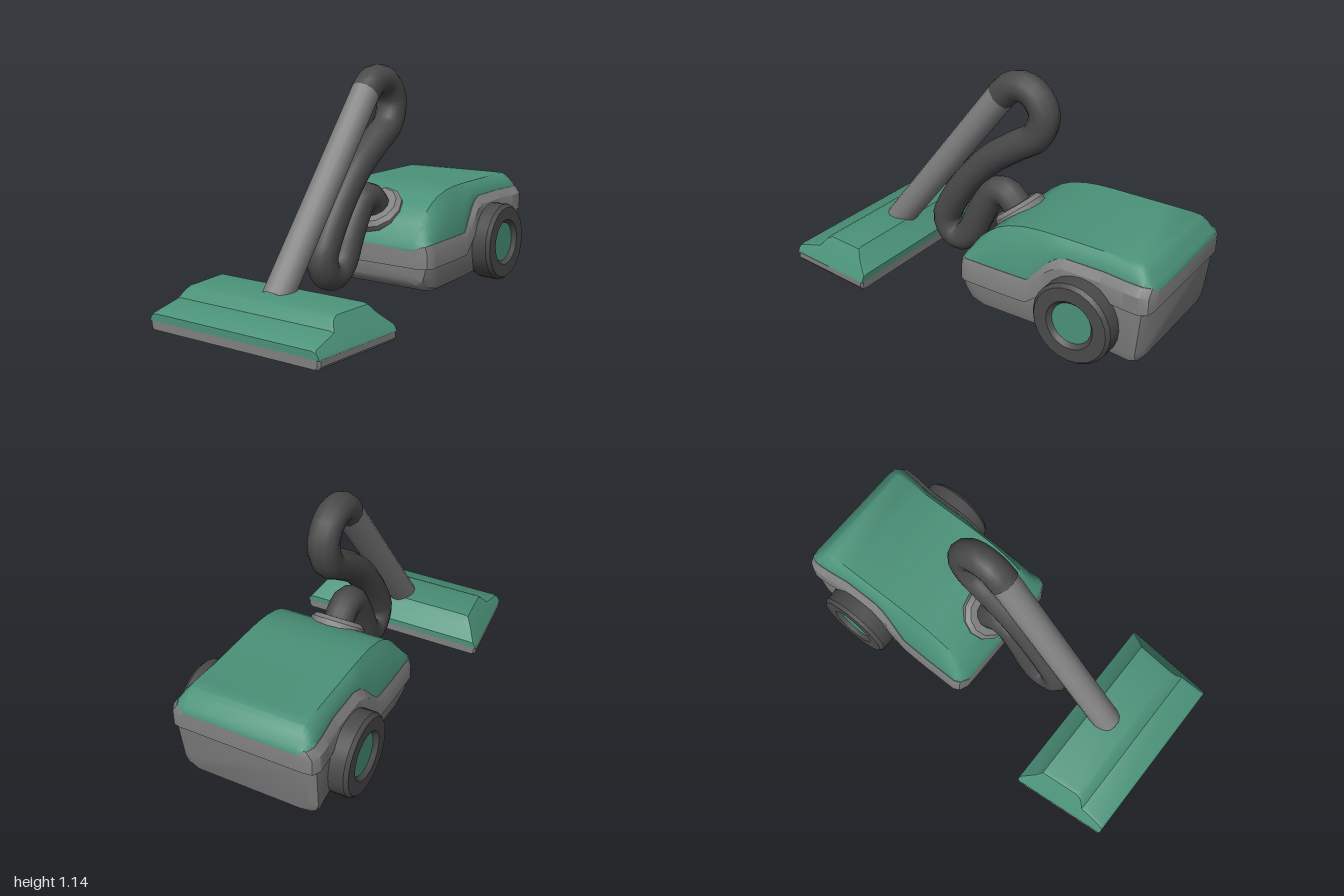
import * as THREE from 'three';
import { toCreasedNormals } from 'three/addons/utils/BufferGeometryUtils.js';

const flat = (name, color) => {
  const m = new THREE.MeshStandardMaterial({ color });
  m.name = name;
  return m;
};

// Mirrors a right-hand half section [x, y] at depth z into a full section.
const mirror = (half, z) => [
  ...half.map(([x, y]) => [x, y, z]),
  ...[...half].reverse().map(([x, y]) => [-x, y, z]),
];

// Skins sections that run from front to back and closes both ends.
function loft(sections, crease = 0.6) {
  const n = sections[0].length, last = (sections.length - 1) * n, index = [];
  for (let i = 0; i < sections.length - 1; i++) {
    for (let j = 0; j < n - 1; j++) {
      const a = i * n + j, d = a + n;
      index.push(a, d, a + 1, a + 1, d, d + 1);
    }
  }
  for (let j = 1; j < n - 1; j++) {
    index.push(0, j, j + 1, last, last + j + 1, last + j);
  }
  const g = new THREE.BufferGeometry();
  g.setAttribute('position', new THREE.Float32BufferAttribute(sections.flat(2), 3));
  g.setIndex(index);
  return toCreasedNormals(g, crease);
}

export function createModel() {
  const group = new THREE.Group();
  const green = flat('green plastic', 0x4b9279);
  const grey = flat('grey plastic', 0x808080);
  const dark = flat('dark rubber', 0x4a4a4a);
  const add = (name, geometry, material, parent = group) => {
    const mesh = new THREE.Mesh(geometry, material);
    mesh.name = name;
    parent.add(mesh);
    return mesh;
  };
  const at = (z, y) => new THREE.Vector3(0, y, z);

  // Body stations: z, half width, seam height, colour line height, top height
  const body = [
    [0.02, 0.31, 0.18, 0.275, 0.277],
    [0.0, 0.355, 0.18, 0.29, 0.31],
    [-0.03, 0.37, 0.18, 0.295, 0.35],
    [-0.06, 0.37, 0.18, 0.295, 0.39],
    [-0.11, 0.37, 0.18, 0.295, 0.435],
    [-0.16, 0.37, 0.18, 0.295, 0.47],
    [-0.22, 0.37, 0.18, 0.295, 0.497],
    [-0.30, 0.368, 0.18, 0.295, 0.517],
    [-0.37, 0.365, 0.18, 0.295, 0.525],
    [-0.42, 0.362, 0.22, 0.35, 0.527],
    [-0.47, 0.36, 0.27, 0.41, 0.528],
    [-0.51, 0.357, 0.30, 0.44, 0.528],
    [-0.56, 0.353, 0.33, 0.455, 0.528],
    [-0.75, 0.353, 0.33, 0.455, 0.528],
    [-0.87, 0.367, 0.33, 0.455, 0.528],
    [-0.92, 0.37, 0.33, 0.455, 0.525],
    [-0.95, 0.37, 0.33, 0.455, 0.50],
    [-0.985, 0.35, 0.33, 0.45, 0.455],
    [-1.0, 0.31, 0.34, 0.43, 0.432],
  ];
  const rimX = (w, y) => w - 0.012 - Math.max(0, y - 0.3) * 0.1;

  // Grey band with a lip over the tub
  add('body band', loft(body.map(([z, w, seam, line]) => {
    const ring = mirror([[w, seam], [w, line - 0.04], [rimX(w, line), line]], z);
    return [...ring, ring[0]];
  })), grey);

  // Green lid with a sloping shoulder
  add('body lid', loft(body.map(([z, w, , line, top]) => {
    const x = rimX(w, line) - 0.003, h = top - line, inner = Math.min(x, 0.28);
    const point = (s, t) => [x + (inner - x) * s, line + h * t];
    return mirror([[x, line - 0.01], point(0, 0), point(0.3, 0.45), point(0.62, 0.78), point(1, 1)], z);
  }), 0.7), green);

  // Grey tub: z, half width, top height, bottom height
  const tub = [
    [0.012, 0.30, 0.19, 0.12],
    [-0.005, 0.345, 0.19, 0.09],
    [-0.05, 0.36, 0.19, 0.06],
    [-0.12, 0.36, 0.19, 0.04],
    [-0.37, 0.355, 0.19, 0.04],
    [-0.55, 0.345, 0.34, 0.04],
    [-0.75, 0.345, 0.34, 0.04],
    [-0.9, 0.36, 0.34, 0.04],
    [-0.96, 0.357, 0.34, 0.05],
    [-0.98, 0.32, 0.34, 0.07],
  ];
  add('body tub', loft(tub.map(([z, w, top, low]) => {
    const lean = z < -0.95 ? 0.1 : 0;
    const half = [[-w, top], [-w + 0.008, low + 0.06], [-w + 0.022, low + 0.02], [-w + 0.055, low]];
    return mirror(half, z).map(([x, y, d]) => [x, y, d + (top - y) * lean]);
  })), grey);

  // Wheels with recessed hubs
  const tyre = [[0.1, 0.3], [0.18, 0.3], [0.2, 0.33], [0.2, 0.425], [0.185, 0.443],
    [0.12, 0.443], [0.1, 0.42], [0.1, 0.4]].map(([r, y]) => new THREE.Vector2(r, y));
  for (const side of [1, -1]) {
    const wheel = new THREE.Group();
    wheel.name = side > 0 ? 'left wheel' : 'right wheel';
    wheel.position.set(0, 0.205, -0.655);
    wheel.rotation.z = -side * Math.PI / 2;
    add('tyre', toCreasedNormals(new THREE.LatheGeometry(tyre, 24), 0.5), dark, wheel);
    add('hub', new THREE.CylinderGeometry(0.102, 0.102, 0.1, 24).translate(0, 0.372, 0), green, wheel);
    group.add(wheel);
  }

  // Floor head: z and top height; sides taper in as it rises
  const headWidth = (z) => 0.515 - (z - 0.51) * 0.09;
  const head = [[1.0, 0.08], [0.99, 0.09], [0.86, 0.122], [0.83, 0.163], [0.80, 0.178],
    [0.60, 0.178], [0.575, 0.143], [0.525, 0.095], [0.51, 0.08]];
  add('floor head cover', loft(head.map(([z, top]) => {
    const w = headWidth(z), x = w - (top - 0.055) * 0.66;
    return mirror([[w, 0.045], [w - 0.006, 0.06], [x, top - 0.006], [x - 0.02, top]], z);
  })), green);
  add('floor head base', loft([1.0, 0.99, 0.52, 0.51].map((z, i) => {
    const w = headWidth(z) - (i % 3 ? 0 : 0.012);
    const ring = mirror([[w - 0.01, 0.005], [w, 0.018], [w, 0.047]], z);
    return [...ring, ring[0]];
  })), grey);

  // Straight wand
  const wand = new THREE.LineCurve3(at(0.69, 0.145), at(-0.01, 1.03));
  add('wand', new THREE.TubeGeometry(wand, 1, 0.072, 14), grey);

  // Looping flexible hose
  const path = [[0.012, 1.005], [-0.045, 1.055], [-0.12, 1.068], [-0.19, 1.03], [-0.228, 0.95],
    [-0.19, 0.84], [-0.08, 0.765], [0.08, 0.65], [0.21, 0.51], [0.32, 0.35], [0.358, 0.255],
    [0.325, 0.18], [0.265, 0.165], [0.205, 0.21], [0.145, 0.33], [0.09, 0.43], [0.04, 0.49],
    [-0.02, 0.495], [-0.07, 0.455], [-0.12, 0.39]];
  const hose = new THREE.CatmullRomCurve3(path.map(([z, y]) => at(z, y)));
  add('hose', new THREE.TubeGeometry(hose, 60, 0.076, 12), dark);

  // Collar where the hose enters the lid
  const collarShape = [[0, -0.05], [0.125, -0.05], [0.137, -0.015], [0.137, 0.01], [0.115, 0.03], [0, 0.03]];
  const collar = add('hose collar', toCreasedNormals(
    new THREE.LatheGeometry(collarShape.map(([r, y]) => new THREE.Vector2(r, y)), 12), 0.6), grey);
  collar.position.set(0, 0.425, -0.095);
  collar.rotation.x = 0.67;

  return group;
}
